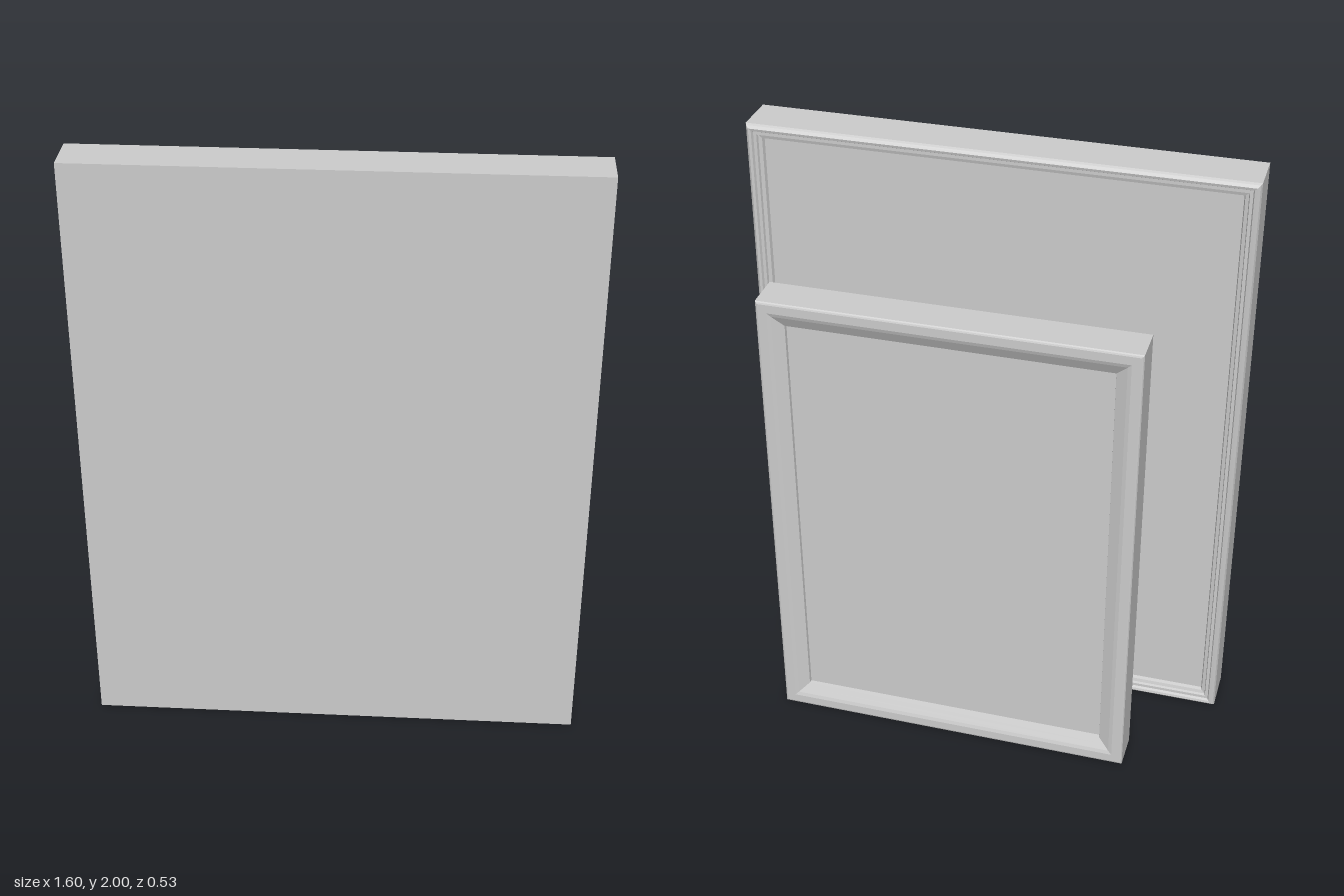
import * as THREE from 'three';

const material = new THREE.MeshStandardMaterial({ color: 0xcccccc, flatShading: true });

// Mitred rectangular moulding: sweeps a profile of [inset, z] points round four sides
function mouldingGeometry(width, height, profile) {
  const positions = [];
  const corner = ([inset, z], i) => {
    const sx = i === 1 || i === 2 ? 1 : -1;
    const sy = i >= 2 ? 1 : -1;
    return [sx * (width / 2 - inset), sy * (height / 2 - inset), z];
  };
  for (let k = 0; k < profile.length - 1; k++) {
    for (let i = 0; i < 4; i++) {
      const j = (i + 1) % 4;
      const a = corner(profile[k], i), b = corner(profile[k], j);
      const c = corner(profile[k + 1], j), d = corner(profile[k + 1], i);
      positions.push(...a, ...d, ...c, ...a, ...c, ...b);
    }
  }
  const geometry = new THREE.BufferGeometry();
  geometry.setAttribute('position', new THREE.Float32BufferAttribute(positions, 3));
  geometry.computeVertexNormals();
  return geometry;
}

// A framed panel with its flat side at z = flatZ and its moulded side facing -z
function framedPanel(name, x, width, height, flatZ, profile) {
  const group = new THREE.Group();
  group.name = name;
  group.position.set(x, height / 2, 0);

  const [inset, panelZ] = profile[profile.length - 1];
  const ring = [[inset, flatZ], [0, flatZ], ...profile];
  const moulding = new THREE.Mesh(mouldingGeometry(width, height, ring), material);
  moulding.name = 'moulding';

  const panel = new THREE.Mesh(
    new THREE.BoxGeometry(width - 2 * inset, height - 2 * inset, flatZ - panelZ), material);
  panel.name = 'panel';
  panel.position.z = (flatZ + panelZ) / 2;

  group.add(moulding, panel);
  return group;
}

export function createModel() {
  const model = new THREE.Group();
  model.name = 'pictureFrames';

  // Large frame with a narrow stepped moulding
  model.add(framedPanel('largeFrame', 0, 1.6, 2, 0.265, [
    [0, 0.12], [0.004, 0.112], [0.012, 0.105], [0.02, 0.107], [0.024, 0.115],
    [0.034, 0.115], [0.037, 0.123], [0.048, 0.126], [0.052, 0.137], [0.06, 0.137],
  ]));

  // Small frame with a broad rounded moulding sloping to the panel
  model.add(framedPanel('smallFrame', 0.05, 1.2, 1.6, -0.137, [
    [0, -0.259], [0.003, -0.263], [0.008, -0.265], [0.036, -0.265], [0.048, -0.261],
    [0.066, -0.252], [0.084, -0.243], [0.086, -0.233], [0.094, -0.233],
  ]));

  return model;
}
